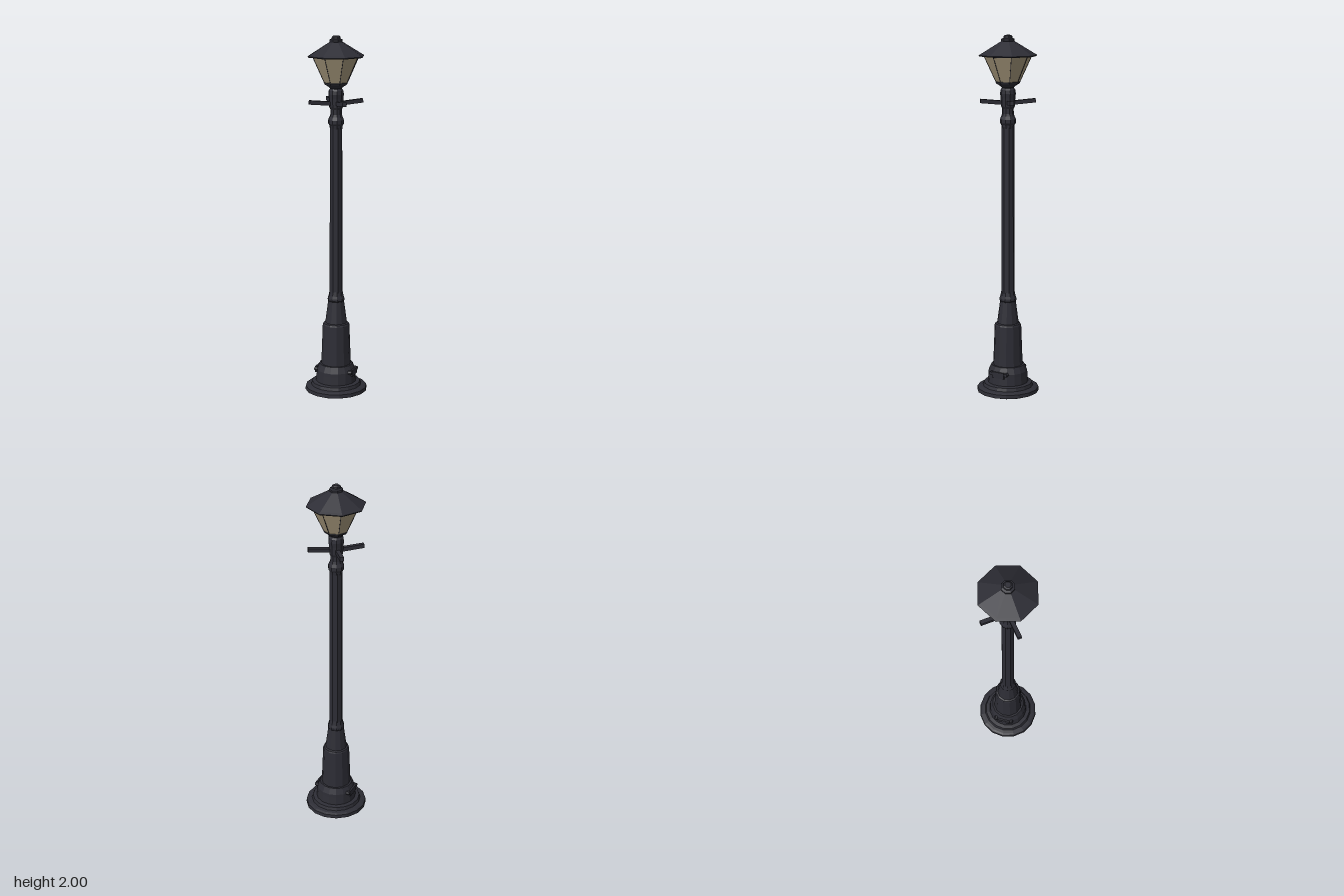
import * as THREE from 'three';

export function createModel() {
  const model = new THREE.Group();
  model.name = 'streetLamp';

  const iron = new THREE.MeshStandardMaterial({ color: 0x2d2d35, flatShading: true });
  iron.name = 'dark iron';
  const glass = new THREE.MeshStandardMaterial({ color: 0xac9d80, flatShading: true });
  glass.name = 'warm glass';

  function add(name, geometry, material = iron, parent = model) {
    const mesh = new THREE.Mesh(geometry, material);
    mesh.name = name;
    parent.add(mesh);
    return mesh;
  }

  // Faceted turned part from [radius, height] pairs, listed bottom to top
  function turned(name, profile, sides, material = iron, turn = 0) {
    const points = profile.map(([r, y]) => new THREE.Vector2(r, y));
    const mesh = add(name, new THREE.LatheGeometry(points, sides), material);
    mesh.rotation.y = turn;
    return mesh;
  }

  // Stepped foot
  turned('foot', [
    [0, 0.004], [0.15, 0.004], [0.165, 0], [0.175, 0.004], [0.173, 0.024], [0.16, 0.03],
    [0.142, 0.034], [0.136, 0.052], [0.114, 0.056], [0.11, 0.105],
    [0.109, 0.122], [0.094, 0.157], [0, 0.157],
  ], 16, iron, Math.PI / 16);

  // Tapered pedestal
  turned('pedestal', [
    [0.084, 0.155], [0.082, 0.2], [0.075, 0.385], [0.071, 0.394], [0.061, 0.398],
    [0.044, 0.525], [0, 0.525],
  ], 12);

  // Collar, shaft and upper collar
  turned('lowerCollar', [
    [0.04, 0.515], [0.048, 0.528], [0.047, 0.54], [0.042, 0.555], [0.037, 0.58],
  ], 10);
  turned('shaft', [[0.038, 0.54], [0.035, 1.52]], 8);
  turned('upperCollar', [
    [0.034, 1.495], [0.037, 1.515], [0.044, 1.525], [0.044, 1.545],
    [0.036, 1.562], [0.032, 1.575], [0.031, 1.61],
  ], 10);

  // Hub carrying the ladder arms
  turned('hub', [
    [0.03, 1.6], [0.038, 1.615], [0.04, 1.66], [0.043, 1.685],
    [0.04, 1.705], [0.033, 1.715], [0.034, 1.73],
  ], 10);

  // Four slightly raised arms on the diagonals
  for (let i = 0; i < 4; i++) {
    const pivot = new THREE.Group();
    pivot.name = 'ladderArm';
    pivot.rotation.y = Math.PI / 4 + i * Math.PI / 2;
    model.add(pivot);
    const arm = add('armBar', new THREE.BoxGeometry(0.13, 0.022, 0.022), iron, pivot);
    arm.position.set(0.087, 1.64, 0);
    arm.rotation.z = 0.09;
  }

  // Lantern cup, glass and glazing bars
  turned('lanternCup', [
    [0.03, 1.715], [0.045, 1.728], [0.063, 1.738], [0.068, 1.748], [0.06, 1.756], [0, 1.756],
  ], 8);
  turned('lanternGlass', [[0.067, 1.75], [0.13, 1.886]], 8, glass);

  const barBottom = new THREE.Vector3(0.067, 1.75, 0);
  const barTop = new THREE.Vector3(0.13, 1.886, 0);
  const barDirection = barTop.clone().sub(barBottom);
  for (let i = 0; i < 8; i++) {
    const pivot = new THREE.Group();
    pivot.name = 'glazingBar';
    pivot.rotation.y = i * Math.PI / 4;
    model.add(pivot);
    const bar = add('bar', new THREE.BoxGeometry(0.003, barDirection.length(), 0.003), iron, pivot);
    bar.position.copy(barBottom).add(barTop).multiplyScalar(0.5);
    bar.rotation.z = -Math.atan2(barDirection.x, barDirection.y);
  }

  // Eight-sided roof with closed underside
  turned('roof', [
    [0, 1.884], [0.13, 1.884], [0.157, 1.886], [0.16, 1.892],
    [0.146, 1.9], [0.034, 1.968], [0, 1.968],
  ], 8);

  // Finial
  turned('finial', [
    [0.03, 1.962], [0.037, 1.968], [0.037, 1.979], [0.025, 1.984],
    [0.024, 1.994], [0.016, 2], [0, 2],
  ], 8);

  // Small access hatches with two bolts on the foot
  for (const turn of [0.12, Math.PI + 0.12]) {
    const hatch = new THREE.Group();
    hatch.name = 'accessHatch';
    hatch.rotation.y = turn;
    model.add(hatch);
    add('hatchPlate', new THREE.BoxGeometry(0.01, 0.035, 0.075), iron, hatch)
      .position.set(0.108, 0.115, 0);
    for (const z of [-0.047, 0.047]) {
      const bolt = add('hatchBolt', new THREE.CylinderGeometry(0.01, 0.012, 0.02, 6), iron, hatch);
      bolt.rotation.z = -Math.PI / 2;
      bolt.position.set(0.102, 0.122, z);
    }
  }

  return model;
}
